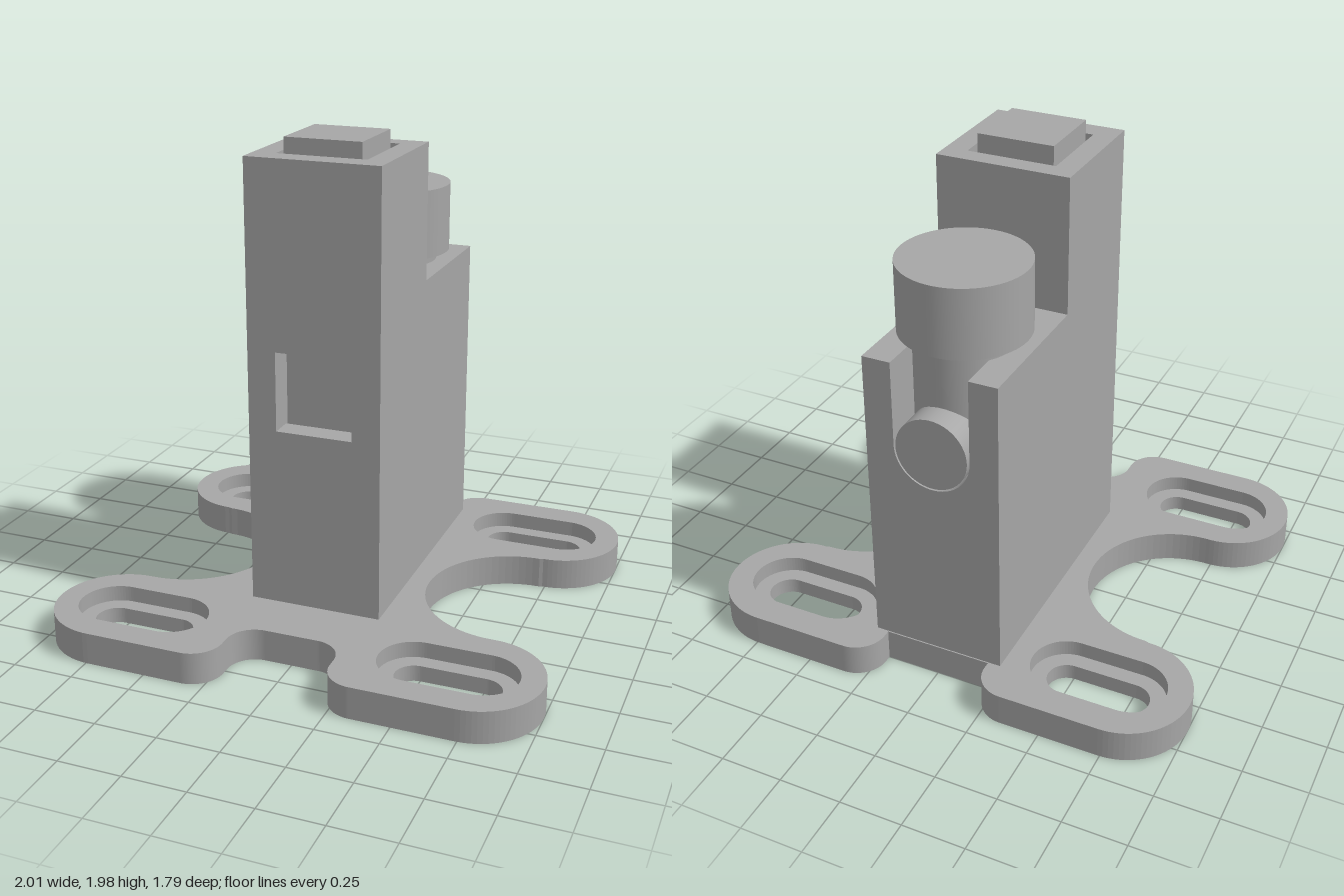
import * as THREE from 'three';

const grey = new THREE.MeshStandardMaterial({ color: 0xa6a6a6 });
grey.name = 'plain grey';

const HALF = Math.PI / 2;

export function createModel() {
  const group = new THREE.Group();
  group.name = 'clampStand';

  const add = (name, geometry) => {
    const mesh = new THREE.Mesh(geometry, grey);
    mesh.name = name;
    group.add(mesh);
  };

  // Extrudes a plan drawn in (x, z) from height y0 to y1
  const plan = (shape, y0, y1) =>
    new THREE.ExtrudeGeometry(shape, { depth: y1 - y0, bevelEnabled: false, curveSegments: 20 })
      .rotateX(HALF).translate(0, y1, 0);

  const polygon = (pts) => new THREE.Shape(pts.map(([x, y]) => new THREE.Vector2(x, y)));

  const box = (x0, x1, y0, y1, z0, z1) =>
    new THREE.BoxGeometry(x1 - x0, y1 - y0, z1 - z0)
      .translate((x0 + x1) / 2, (y0 + y1) / 2, (z0 + z1) / 2);

  // Foot plate: half outline from the back edge to the front notch, then mirrored
  const half = new THREE.Path();
  half.moveTo(0, -0.75);
  half.lineTo(0.22, -0.75);
  half.absarc(0.34, -0.78, 0.12, Math.PI, 1.5 * Math.PI, false);
  half.absarc(0.74, -0.6375, 0.2625, -HALF, HALF, false);
  half.absarc(0.725, 0, 0.37, -HALF, HALF, true);
  half.absarc(0.74, 0.63, 0.26, -HALF, HALF, false);
  half.absarc(0.34, 0.77, 0.12, HALF, Math.PI, false);
  half.absarc(0.11, 0.73, 0.11, 0, -HALF, true);
  const rightPts = half.getPoints(20);
  const leftPts = rightPts.slice(1).reverse().map((p) => new THREE.Vector2(-p.x, p.y));

  const footPlate = (slotRadius) => {
    const shape = new THREE.Shape([...rightPts, ...leftPts]);
    for (const side of [-1, 1]) {
      for (const z of [-0.635, 0.63]) {
        const slot = new THREE.Path();
        slot.absarc(side * 0.633 + 0.128, z, slotRadius, -HALF, HALF, false);
        slot.absarc(side * 0.633 - 0.128, z, slotRadius, HALF, 3 * HALF, false);
        slot.closePath();
        shape.holes.push(slot);
      }
    }
    return shape;
  };
  add('footPlateLower', plan(footPlate(0.08), 0, 0.065));
  add('footPlateUpper', plan(footPlate(0.145), 0.065, 0.13));

  // Hollow tower, with a square window through its front wall
  const tube = polygon([[-0.27, -0.145], [0.27, -0.145], [0.27, 0.38], [-0.27, 0.38]]);
  tube.holes.push(polygon([[-0.18, -0.065], [-0.18, 0.285], [0.18, 0.285], [0.18, -0.065]]));
  const openTube = polygon([
    [-0.27, -0.145], [0.27, -0.145], [0.27, 0.38], [0.155, 0.38], [0.155, 0.285], [0.18, 0.285],
    [0.18, -0.065], [-0.18, -0.065], [-0.18, 0.285], [-0.155, 0.285], [-0.155, 0.38], [-0.27, 0.38],
  ]);
  add('towerLower', plan(tube, 0.13, 0.86));
  add('towerWindow', plan(openTube, 0.86, 1.18));
  add('towerUpper', plan(tube, 1.18, 1.92));

  // Square bar standing in the tower
  add('slidingBar', box(-0.155, 0.155, 0.13, 1.98, -0.03, 0.27));

  // Rear block, with a round-bottomed slot open at the top and back
  add('rearBlock', box(-0.27, 0.27, 0.13, 1.37, -0.455, -0.145));
  const slotted = new THREE.Shape();
  slotted.moveTo(-0.27, 0.13);
  slotted.lineTo(0.27, 0.13);
  slotted.lineTo(0.27, 1.37);
  slotted.lineTo(0.155, 1.37);
  slotted.absarc(0, 1.025, 0.155, 0, -Math.PI, true);
  slotted.lineTo(-0.155, 1.37);
  slotted.lineTo(-0.27, 1.37);
  slotted.closePath();
  add('slottedBlock', new THREE.ExtrudeGeometry(slotted,
    { depth: 0.29, bevelEnabled: false, curveSegments: 24 }).translate(0, 0, -0.745));

  // Cross pin lying in the bottom of the slot
  add('crossPin', new THREE.CylinderGeometry(0.146, 0.146, 0.3, 48)
    .rotateX(HALF).translate(0, 1.025, -0.598));

  // Clamping knob and its stem
  add('knobStem', new THREE.CylinderGeometry(0.2, 0.2, 0.41, 48).translate(0, 1.205, -0.455));
  add('knob', new THREE.CylinderGeometry(0.252, 0.252, 0.28, 64).translate(0, 1.55, -0.457));

  return group;
}
